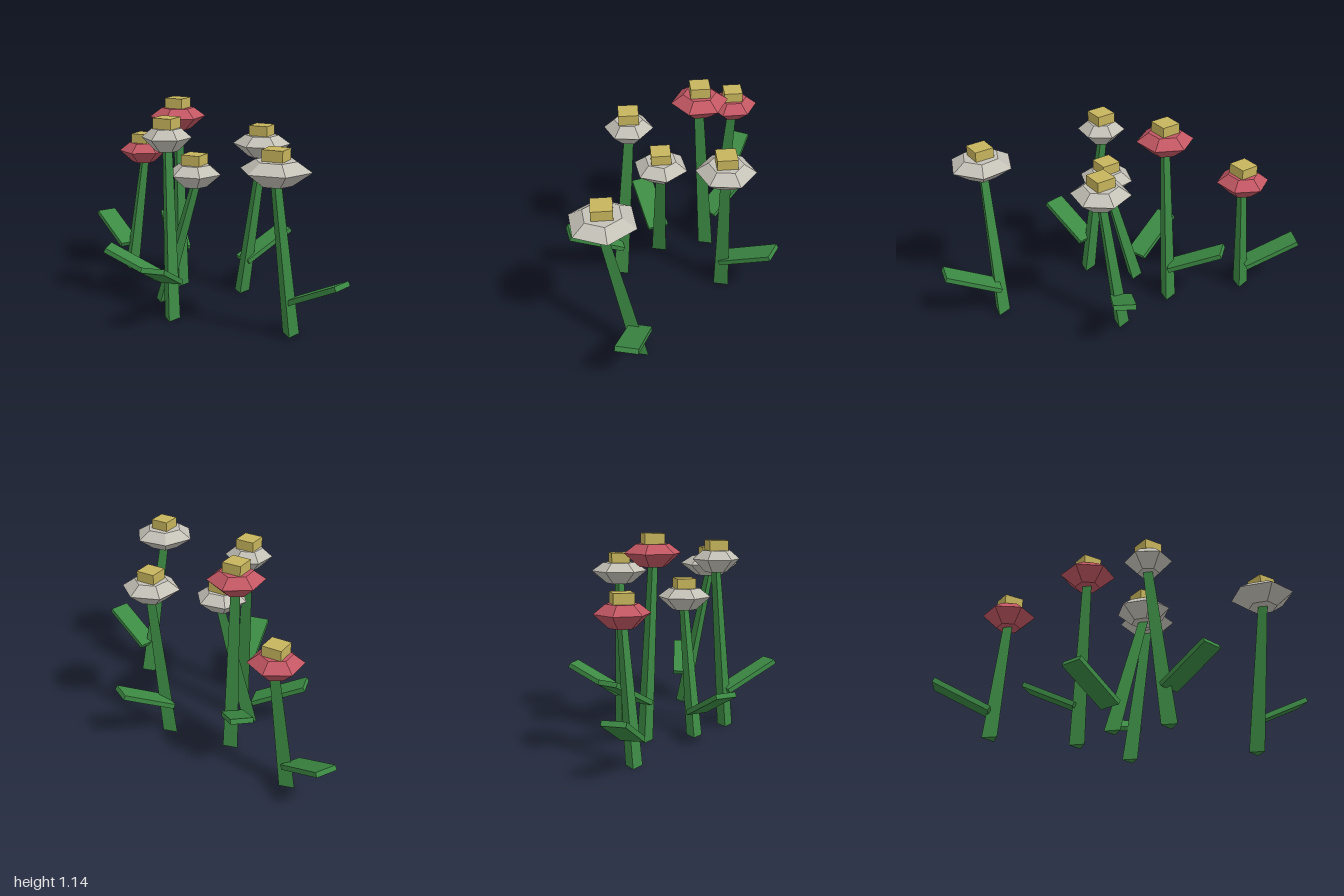
import * as THREE from 'three';

const flat = (name, color) => {
  const m = new THREE.MeshStandardMaterial({ color, flatShading: true });
  m.name = name;
  return m;
};

// base and head: [x, z] on the ground and under the blossom; y: underside of the blossom;
// r: blossom radius; turn: blossom rotation in degrees; tip: [x, z] of the leaf end; leafY: leaf start height
const FLOWERS = [
  { red: true, base: [-0.27, -0.675], head: [-0.185, -0.645], y: 0.69, r: 0.148, turn: 14, tip: [-0.362, -0.982], leafY: 0.135 },
  { red: true, base: [-0.065, -0.252], head: [-0.09, -0.21], y: 0.96, r: 0.159, turn: 12, tip: [-0.037, -0.565], leafY: 0.21 },
  { base: [0.24, -0.02], head: [0.318, 0.07], y: 0.825, r: 0.162, turn: 24, tip: [0.542, -0.095], leafY: 0.18 },
  { base: [-0.245, -0.02], head: [-0.095, 0.12], y: 0.692, r: 0.152, turn: -23, tip: [-0.527, -0.178], leafY: 0.13 },
  { base: [-0.28, 0.284], head: [-0.268, 0.18], y: 0.91, r: 0.134, turn: 22, tip: [-0.448, 0.53], leafY: 0.2 },
  { base: [0.245, 0.692], head: [0.108, 0.783], y: 0.828, r: 0.182, turn: -21.5, tip: [0.397, 0.958], leafY: 0.17 },
];

// three-sided tapered stem, sheared so both ends stay level
function stemGeometry(f) {
  const g = new THREE.CylinderGeometry(0.031, 0.05, f.y, 3, 1, false, Math.PI / 2);
  g.translate(0, f.y / 2, 0);
  const p = g.attributes.position;
  for (let i = 0; i < p.count; i++) {
    const t = p.getY(i) / f.y;
    p.setX(i, p.getX(i) + THREE.MathUtils.lerp(f.base[0], f.head[0], t));
    p.setZ(i, p.getZ(i) + THREE.MathUtils.lerp(f.base[1], f.head[1], t));
  }
  return g;
}

// six-sided blossom: narrow base, wide rim, flat top
function blossomGeometry(f) {
  const profile = [[0, 0], [0.46, 0], [1, 0.073], [0.58, 0.122], [0, 0.122]]
    .map(([k, y]) => new THREE.Vector2(k * f.r, y));
  return new THREE.LatheGeometry(profile, 6, Math.PI / 2 - THREE.MathUtils.degToRad(f.turn));
}

export function createModel() {
  const green = flat('leaf green', 0x3c8a44);
  const red = flat('petal red', 0xc25763);
  const white = flat('petal white', 0xc4c1b7);
  const gold = flat('centre gold', 0xc6b45c);

  const model = new THREE.Group();
  model.name = 'flowerPatch';
  const add = (parent, name, geometry, material) => {
    const mesh = new THREE.Mesh(geometry, material);
    mesh.name = name;
    parent.add(mesh);
    return mesh;
  };

  // slab leaf running along +z from its inner end
  const length = 0.34, thick = 0.028, pitch = 0.463;
  const leafGeometry = new THREE.BoxGeometry(0.124, thick, length).translate(0, 0, length / 2);
  // square flower centre standing on its corner in plan
  const centreGeometry = new THREE.CylinderGeometry(0.077, 0.077, 0.058, 4);

  for (const f of FLOWERS) {
    const flower = new THREE.Group();
    flower.name = f.red ? 'redFlower' : 'whiteFlower';
    model.add(flower);

    add(flower, 'stem', stemGeometry(f), green);
    add(flower, 'blossom', blossomGeometry(f), f.red ? red : white)
      .position.set(f.head[0], f.y, f.head[1]);
    add(flower, 'flowerCentre', centreGeometry, gold)
      .position.set(f.head[0], f.y + 0.15, f.head[1]);

    // leaf rises outward and ends at its tip
    const yaw = Math.atan2(f.tip[0] - f.base[0], f.tip[1] - f.base[1]);
    const reach = length * Math.cos(pitch);
    const leaf = add(flower, 'leaf', leafGeometry, green);
    leaf.rotation.set(-pitch, yaw, 0, 'YXZ');
    leaf.position.set(
      f.tip[0] - Math.sin(yaw) * reach,
      f.leafY + thick / 2,
      f.tip[1] - Math.cos(yaw) * reach);
  }
  return model;
}
